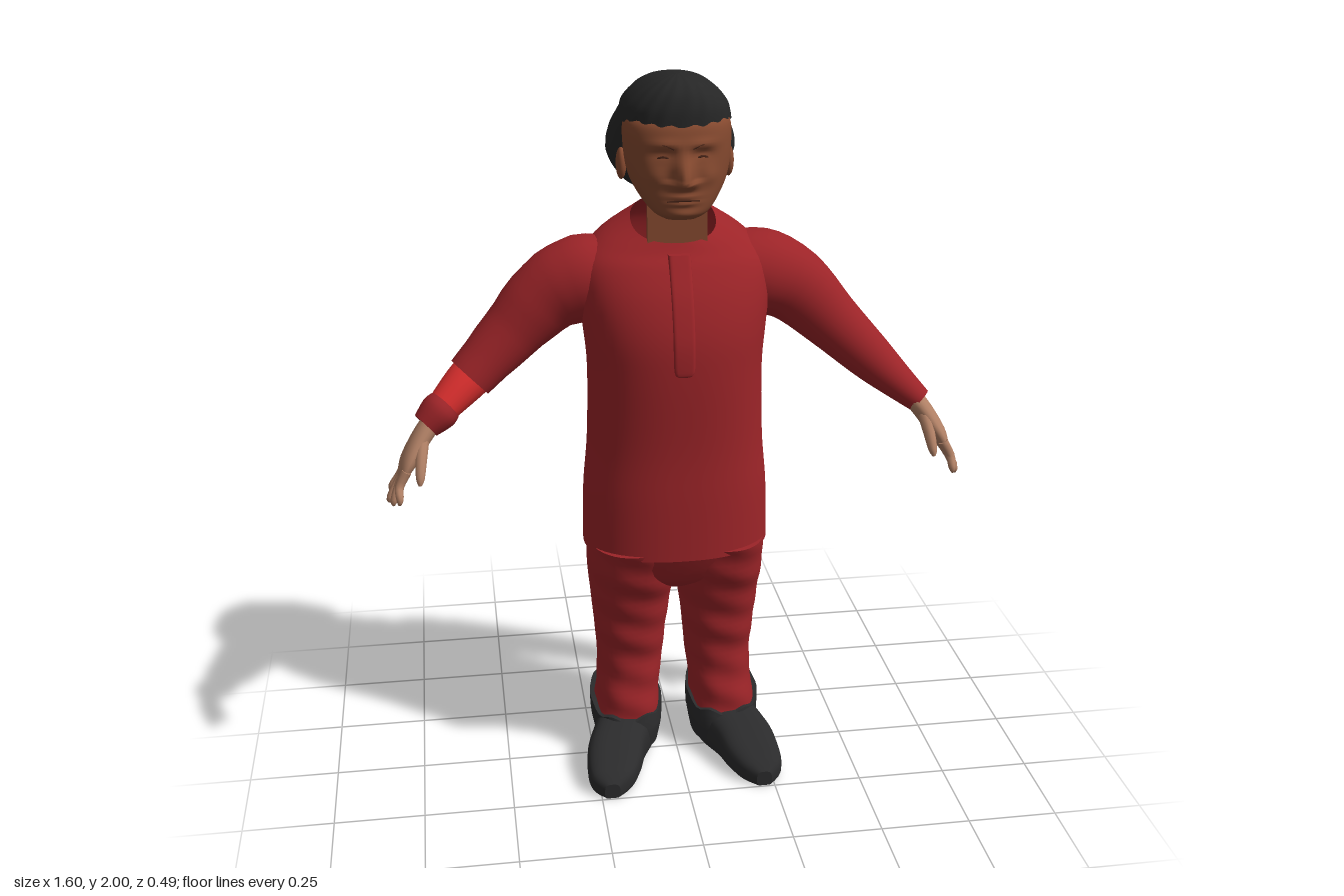
import * as THREE from 'three';

const V = (x, y, z) => new THREE.Vector3(x, y, z);
const mat = (name, color, side = THREE.FrontSide) => {
  const m = new THREE.MeshStandardMaterial({ color, side });
  m.name = name;
  return m;
};

// Smoothly fills in k steps between rows of numbers of equal length
function dense(rows, k) {
  const out = [], last = rows.length - 1;
  const at = i => rows[Math.max(0, Math.min(last, i))];
  for (let i = 0; i < last; i++) {
    for (let j = 0; j < k; j++) {
      const t = j / k;
      out.push(rows[i].map((b, c) => {
        const a = at(i - 1)[c], d = at(i + 1)[c], e = at(i + 2)[c];
        return b + 0.5 * t * (d - a + t * (2 * a - 5 * b + 4 * d - e + t * (3 * (b - d) + e - a)));
      }));
    }
  }
  out.push(rows[last]);
  return out;
}

// Skins a list of rings and turns the faces outward
function skin(rings, capStart = true, capEnd = true) {
  const n = rings[0].length, pts = rings.flat(), idx = [];
  for (let r = 0; r < rings.length - 1; r++) {
    for (let i = 0; i < n; i++) {
      const a = r * n + i, b = r * n + (i + 1) % n;
      idx.push(a, b, a + n, b, b + n, a + n);
    }
  }
  const cap = (ring, flip) => {
    const base = pts.length, c = V(0, 0, 0);
    ring.forEach(p => c.addScaledVector(p, 1 / n));
    pts.push(...ring.map(p => p.clone()), c);
    for (let i = 0; i < n; i++) {
      const a = base + i, b = base + (i + 1) % n;
      if (flip) idx.push(b, a, base + n);
      else idx.push(a, b, base + n);
    }
  };
  if (capStart) cap(rings[0], true);
  if (capEnd) cap(rings[rings.length - 1], false);
  let vol = 0;
  const cross = V(0, 0, 0), mid = pts[0];
  for (let i = 0; i < idx.length; i += 3) {
    const [a, b, c] = [0, 1, 2].map(j => pts[idx[i + j]].clone().sub(mid));
    vol += a.dot(cross.crossVectors(b, c));
  }
  if (vol < 0) idx.reverse();
  const g = new THREE.BufferGeometry().setFromPoints(pts);
  g.setIndex(idx);
  g.computeVertexNormals();
  return g;
}

const sp = (v, e) => Math.sign(v) * Math.pow(Math.abs(v), 2 / e);

// Upright body; rows are [y, centre x, half width, front z, back z, rise at the back (0 if left out)]
function upright(rows, { n = 40, k = 5, e = 2.3, bump, top = true } = {}) {
  const full = rows.map(r => [...r, 0].slice(0, 6));
  return skin(dense(full, k).map(([y, cx, rx, zf, zb, tilt]) =>
    Array.from({ length: n }, (_, i) => {
      const a = i / n * Math.PI * 2, s = sp(Math.sin(a), e);
      const p = V(cx + rx * sp(Math.cos(a), e), y - tilt * s, (zf + zb) / 2 + (zf - zb) / 2 * s);
      if (bump) bump(p, a);
      return p;
    })), true, top);
}

// Limb along a path; rows are [x, y, z, radius along z, radius across]
function limb(rows, { n = 20, k = 4, wrinkle = 0 } = {}) {
  const d = dense(rows, k), P = d.map(r => V(r[0], r[1], r[2]));
  return skin(d.map((r, i) => {
    const t = P[Math.min(i + 1, P.length - 1)].clone().sub(P[Math.max(i - 1, 0)]).normalize();
    const A = V(0, 0, 1).addScaledVector(t, -t.z).normalize(), B = t.clone().cross(A);
    const w = 1 + wrinkle * Math.sin(i * 2.1);
    return Array.from({ length: n }, (_, j) => {
      const a = j / n * Math.PI * 2;
      return P[i].clone().addScaledVector(A, Math.cos(a) * r[3] * w).addScaledVector(B, Math.sin(a) * r[4] * w);
    });
  }));
}

export function createModel() {
  const model = new THREE.Group();
  const red = mat('darkRedCloth', 0x9c2428, THREE.DoubleSide), bright = mat('brightRedCloth', 0xe0302f);
  const face = mat('brownSkin', 0x85492f), handSkin = mat('tanSkin', 0xb08065);
  const black = mat('blackHair', 0x262626), shoe = mat('charcoalShoe', 0x2b2b2c), crease = mat('darkCrease', 0x4a2619);
  const add = (name, g, m) => {
    const mesh = new THREE.Mesh(g, m);
    mesh.name = name;
    model.add(mesh);
    return mesh;
  };
  const gauss = (v, w) => Math.exp(-v * v / (w * w));

  // Long shirt with an open collar
  add('shirt', upright([
    [0.685, 0, 0.262, 0.145, -0.228], [0.85, 0, 0.258, 0.143, -0.225], [1.0, 0, 0.245, 0.14, -0.22],
    [1.2, 0, 0.24, 0.148, -0.235], [1.32, 0, 0.25, 0.143, -0.243], [1.42, 0, 0.262, 0.115, -0.245],
    [1.5, 0, 0.255, 0.075, -0.235, 0.005], [1.56, 0, 0.2, 0.045, -0.212, 0.028], [1.605, 0, 0.115, 0.028, -0.16, 0.045],
  ], { top: false, n: 56 }), red);
  add('placket', upright([
    [1.225, 0, 0.012, 0.147, 0.1], [1.24, 0, 0.028, 0.153, 0.1], [1.32, 0, 0.03, 0.149, 0.1],
    [1.42, 0, 0.03, 0.121, 0.08], [1.5, 0, 0.03, 0.081, 0.04], [1.535, 0, 0.03, 0.062, 0.02],
  ], { e: 6, n: 24 }), red);

  // Trousers
  add('trouserSeat', upright([
    [0.55, 0, 0.06, 0.03, -0.14], [0.6, 0, 0.2, 0.09, -0.195], [0.7, 0, 0.254, 0.138, -0.217],
  ]), red);

  // Arm path from shoulder to wrist
  const arm = [
    [0.12, 1.46, -0.1, 0.11, 0.09], [0.24, 1.44, -0.1, 0.118, 0.118], [0.34, 1.395, -0.1, 0.1, 0.105],
    [0.45, 1.29, -0.088, 0.08, 0.083], [0.56, 1.185, -0.057, 0.067, 0.066], [0.63, 1.123, -0.022, 0.052, 0.05], [0.69, 1.072, 0.006, 0.04, 0.036],
  ];
  for (const s of [1, -1]) {
    const side = s > 0 ? 'left' : 'right';
    const flip = rows => rows.map(r => [r[0] * s, ...r.slice(1)]);
    const leg = rows => rows.map(r => [r[0], r[1] * s, ...r.slice(2)]);

    add(side + 'TrouserLeg', upright(leg([
      [0.7, 0.125, 0.128, 0.132, -0.212], [0.6, 0.126, 0.126, 0.1, -0.198], [0.5, 0.128, 0.115, 0.063, -0.187],
      [0.4, 0.13, 0.104, 0.045, -0.18], [0.3, 0.131, 0.096, 0.03, -0.18], [0.2, 0.139, 0.092, 0.04, -0.176], [0.12, 0.145, 0.099, 0.05, -0.18],
    ]), { bump: p => { p.z += 0.004 * Math.sin(p.y * 60 + p.x * 20); } }), red);

    // Shoe: ankle collar and a foot turned slightly outward
    add(side + 'ShoeCollar', upright(leg([
      [0.03, 0.142, 0.09, 0.06, -0.185], [0.1, 0.144, 0.104, 0.065, -0.189, 0.015], [0.16, 0.145, 0.106, 0.055, -0.19, 0.03],
    ]), { bump: (p, a) => { if (p.y > 0.1) p.y += 0.008 * Math.sin(a * 7); } }), shoe);
    const foot = dense([
      [-0.19, 0.13, 0.05, 0.13], [-0.165, 0.135, 0.078, 0.15], [-0.08, 0.14, 0.088, 0.15], [0, 0.155, 0.09, 0.145],
      [0.08, 0.188, 0.085, 0.12], [0.15, 0.204, 0.078, 0.09], [0.21, 0.216, 0.06, 0.07], [0.245, 0.22, 0.022, 0.045],
    ], 4);
    add(side + 'Shoe', skin(foot.map(([z, cx, w, h]) => Array.from({ length: 28 }, (_, i) => {
      const a = i / 28 * Math.PI * 2, y = sp(Math.sin(a), 3);
      return V(s * cx + w * sp(Math.cos(a), 3), Math.max(0, h * (0.45 + 0.55 * y)), z);
    }))), shoe);

    // Sleeves: the right one is pushed up over a bright undersleeve with a cuff
    if (s > 0) add('leftSleeve', limb(arm, { n: 28 }), red);
    else {
      add('rightSleeve', limb(flip(arm.slice(0, 5)), { n: 28, wrinkle: 0.012 }), red);
      add('rightUndersleeve', limb(flip([[0.53, 1.21, -0.068, 0.062, 0.06], [0.58, 1.168, -0.046, 0.058, 0.056], [0.65, 1.105, -0.01, 0.044, 0.042]])), bright);
      add('rightCuff', limb(flip([[0.63, 1.122, -0.02, 0.05, 0.048], [0.65, 1.105, -0.01, 0.056, 0.052], [0.685, 1.075, 0.004, 0.042, 0.04]])), red);
    }

    // Hand with four fingers and a thumb
    add(side + 'Palm', limb(flip([
      [0.665, 1.09, 0, 0.033, 0.028], [0.7, 1.045, 0.018, 0.042, 0.027], [0.735, 0.99, 0.036, 0.053, 0.024], [0.755, 0.95, 0.044, 0.048, 0.014],
    ])), handSkin);
    [[0.088, 0.765, 0.893, 0.113], [0.06, 0.782, 0.878, 0.078], [0.029, 0.793, 0.873, 0.042], [0.003, 0.788, 0.89, 0.006]].forEach(([z, x, y, tz], i) => {
      add(side + 'Finger' + (i + 1), limb(flip([
        [0.742, 0.975, z * 0.9 + 0.003, 0.014, 0.014], [0.763, 0.935, z, 0.0135, 0.0125], [x - 0.002, y + 0.015, tz, 0.011, 0.01], [x, y, tz, 0.004, 0.004],
      ]), { n: 10, k: 3 }), handSkin);
    });
    add(side + 'Thumb', limb(flip([
      [0.695, 1.045, 0.04, 0.018, 0.018], [0.702, 1.0, 0.078, 0.017, 0.016], [0.706, 0.962, 0.106, 0.012, 0.012], [0.708, 0.945, 0.115, 0.004, 0.004],
    ]), { n: 10, k: 3 }), handSkin);
  }

  // Flat neck piece
  const neck = add('neck', new THREE.BoxGeometry(0.16, 0.2, 0.018), face);
  neck.position.set(0, 1.6, 0.008);

  // Head with brow, nose, eye sockets, lips and chin pushed out of the surface
  const features = p => {
    if (p.z < 0.03) return;
    const ax = Math.abs(p.x), rise = p.y - 1.745;
    p.z += 0.048 * gauss(p.x, rise > 0 ? 0.022 : 0.032) * gauss(rise, rise > 0 ? 0.055 : 0.018);
    p.z -= 0.014 * gauss(ax - 0.05, 0.03) * gauss(p.y - 1.808, 0.016);
    p.z += 0.008 * gauss(ax - 0.05, 0.022) * gauss(p.y - 1.803, 0.01);
    p.z += 0.008 * gauss(ax - 0.045, 0.04) * gauss(p.y - 1.838, 0.012);
    p.z += 0.007 * gauss(ax - 0.07, 0.025) * gauss(p.y - 1.755, 0.022);
    p.z += 0.009 * gauss(p.x, 0.035) * (gauss(p.y - 1.706, 0.007) + gauss(p.y - 1.689, 0.007));
    p.z += 0.008 * gauss(p.x, 0.035) * gauss(p.y - 1.66, 0.014);
  };
  add('head', upright([
    [1.642, 0, 0.045, 0.105, 0.03], [1.66, 0, 0.074, 0.123, 0], [1.7, 0, 0.106, 0.126, -0.06], [1.75, 0, 0.13, 0.123, -0.1],
    [1.82, 0, 0.14, 0.123, -0.12], [1.88, 0, 0.138, 0.114, -0.12], [1.91, 0, 0.115, 0.08, -0.1],
  ], { n: 112, k: 9, bump: features }), face);

  // Thin dark creases for eyes, brows and mouth
  const line = (name, pts) => add(name, new THREE.TubeGeometry(new THREE.CatmullRomCurve3(pts.map(p => V(...p))), 12, 0.003, 6), crease);
  for (const s of [1, -1]) {
    line('eyeCrease', [[0.03 * s, 1.8, 0.114], [0.05 * s, 1.807, 0.113], [0.074 * s, 1.799, 0.101]]);
    line('browCrease', [[0.024 * s, 1.828, 0.123], [0.05 * s, 1.838, 0.121], [0.082 * s, 1.828, 0.099]]);
    const ear = add('ear', new THREE.SphereGeometry(1, 16, 12), face);
    ear.scale.set(0.014, 0.042, 0.026);
    ear.position.set(0.142 * s, 1.765, -0.03);
  }
  line('mouthCrease', [[-0.042, 1.694, 0.12], [0, 1.698, 0.132], [0.042, 1.694, 0.12]]);

  // Hair: cap above the forehead and a full back
  const strands = (p, a) => {
    const w = 1 + 0.012 * Math.sin(a * 19 + p.y * 45);
    p.x *= w;
    p.z = -0.06 + (p.z + 0.06) * w;
  };
  add('hairTop', upright([
    [1.88, 0, 0.146, 0.113, -0.212], [1.92, 0, 0.137, 0.111, -0.207], [1.955, 0, 0.11, 0.1, -0.187],
    [1.98, 0, 0.076, 0.078, -0.145], [1.994, 0, 0.04, 0.05, -0.08], [2.0, 0, 0.008, 0.02, -0.02],
  ], { n: 80, bump: strands }), black);
  add('hairBack', upright([
    [1.685, 0, 0.095, -0.065, -0.175], [1.705, 0, 0.125, -0.055, -0.195], [1.74, 0, 0.153, -0.045, -0.207], [1.79, 0, 0.171, -0.035, -0.211],
    [1.84, 0, 0.162, -0.025, -0.213], [1.885, 0, 0.143, 0, -0.21], [1.92, 0, 0.12, 0, -0.19],
  ], { n: 80, e: 2.8, bump: strands }), black);
  return model;
}
